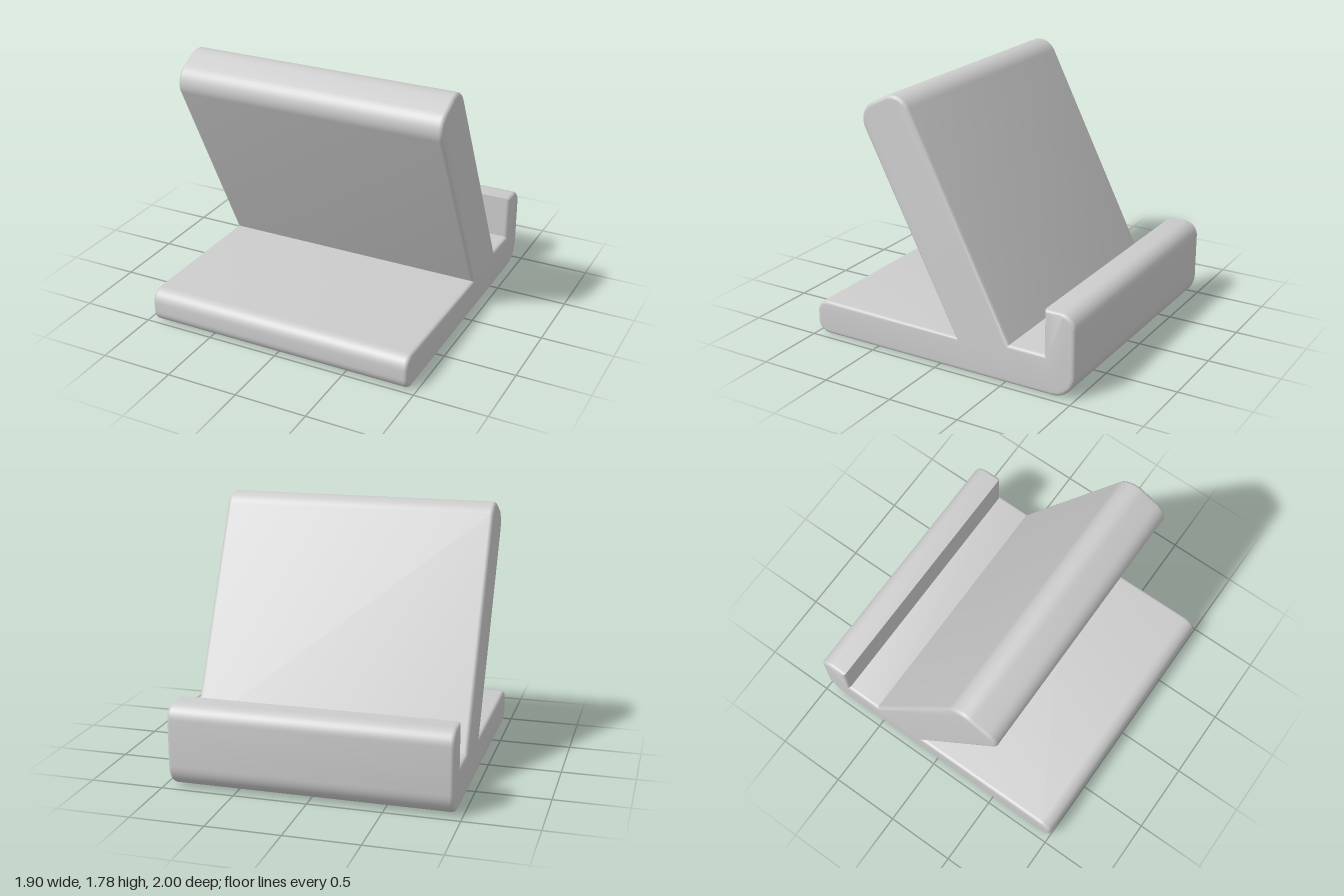
import * as THREE from 'three';
import { toCreasedNormals } from 'three/addons/utils/BufferGeometryUtils.js';

// Closed outline from corners [z, y, radius]; radius 0 keeps the corner sharp.
function roundedOutline(corners, steps = 10) {
  const points = [];
  corners.forEach(([x, y, r], i) => {
    const corner = new THREE.Vector2(x, y);
    if (!r) return points.push(corner);
    const n = corners.length;
    const a = new THREE.Vector2(...corners[(i + n - 1) % n]).sub(corner).normalize();
    const b = new THREE.Vector2(...corners[(i + 1) % n]).sub(corner).normalize();
    const half = Math.acos(a.dot(b)) / 2;
    const centre = a.clone().add(b).normalize().multiplyScalar(r / Math.sin(half)).add(corner);
    const start = a.multiplyScalar(r / Math.tan(half)).add(corner).sub(centre);
    const sweep = Math.PI - 2 * half; // outline runs counter-clockwise
    for (let k = 0; k <= steps; k++) {
      points.push(start.clone().rotateAround(new THREE.Vector2(), sweep * k / steps).add(centre));
    }
  });
  return new THREE.Shape(points);
}

export function createModel() {
  const group = new THREE.Group();
  group.name = 'deviceStand';
  const width = 1.9, bevel = 0.025;

  // Side profile, counter-clockwise in (z, y)
  const profile = roundedOutline([
    [-1, 0, 0.16], [1, 0, 0.09], [1, 0.245, 0.09],      // base plate
    [-0.13, 0.228, 0],                                  // foot of the back rest
    [0.597, 1.65, 0.13], [0.256, 1.823, 0.13],          // rounded top of the back rest
    [-0.53, 0.268, 0], [-0.785, 0.268, 0],              // slot floor
    [-0.785, 0.575, 0], [-1, 0.575, 0.1],               // retaining lip
  ]);

  // Extrude across the width with softened side edges
  const geometry = new THREE.ExtrudeGeometry(profile, {
    depth: width - 2 * bevel, bevelEnabled: true, bevelSize: bevel,
    bevelThickness: bevel, bevelOffset: -bevel, bevelSegments: 4,
  });
  geometry.translate(0, 0, bevel - width / 2);
  geometry.rotateY(-Math.PI / 2);

  const stand = new THREE.Mesh(
    toCreasedNormals(geometry, 0.6),
    new THREE.MeshStandardMaterial({ color: 0xcccccc })
  );
  stand.name = 'standBody';
  group.add(stand);
  return group;
}
